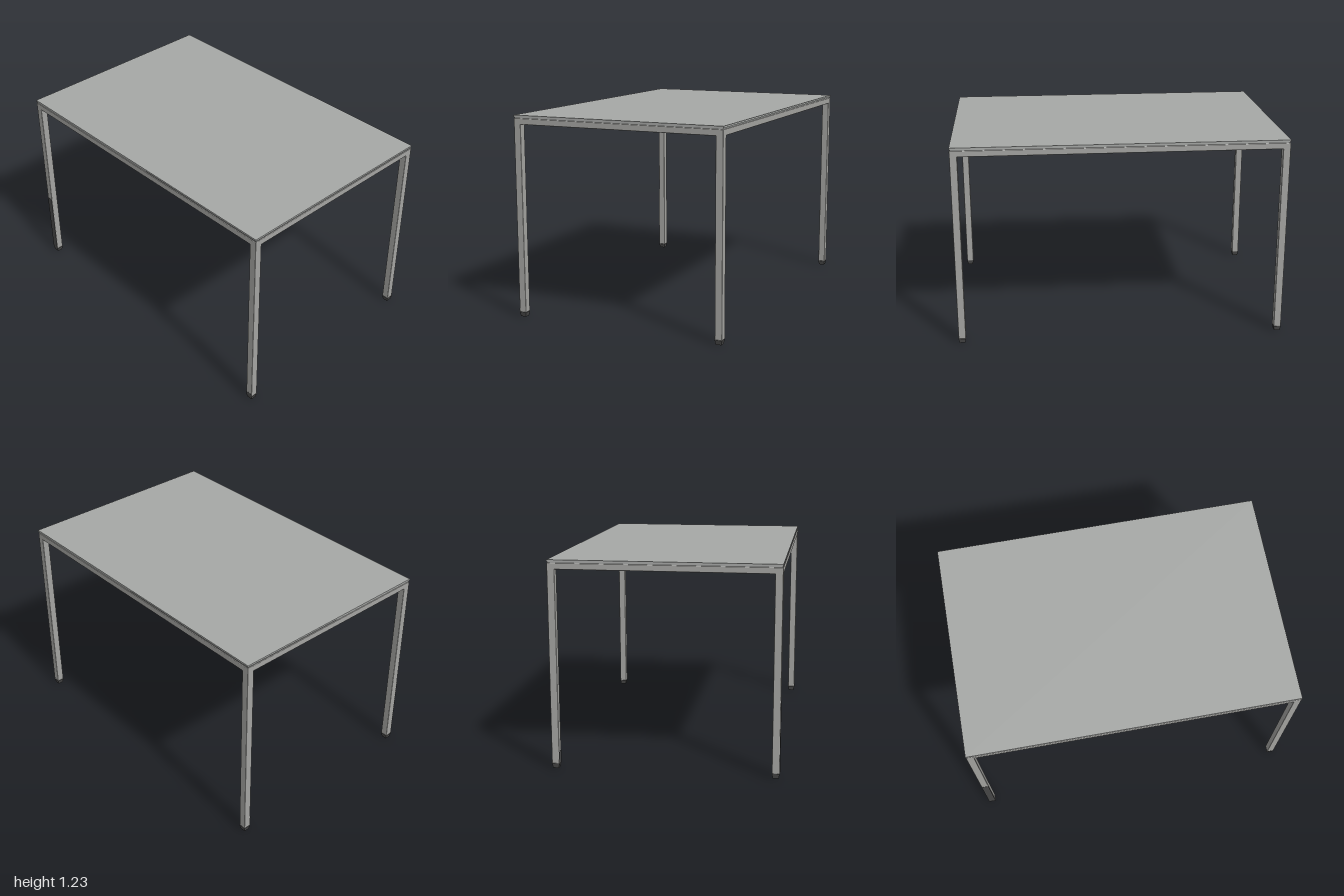
import * as THREE from 'three';
import { RoundedBoxGeometry } from 'three/addons/geometries/RoundedBoxGeometry.js';

const HALF_X = 1, HALF_Z = 0.667, TUBE = 0.045;
const FOOT = 0.028, FRAME_TOP = 1.215, RAIL_BOTTOM = 1.178, HEIGHT = 1.233;

export function createModel() {
  const table = new THREE.Group();
  table.name = 'table';
  const topGrey = new THREE.MeshStandardMaterial({ color: 0xa6a8a6 });
  topGrey.name = 'topGrey';
  const frameGrey = new THREE.MeshStandardMaterial({ color: 0xa4a4a1 });
  frameGrey.name = 'frameGrey';
  const darkPlastic = new THREE.MeshStandardMaterial({ color: 0x484848 });
  darkPlastic.name = 'darkPlastic';

  const add = (name, geometry, material, x, y, z) => {
    const mesh = new THREE.Mesh(geometry, material);
    mesh.name = name;
    mesh.position.set(x, y, z);
    table.add(mesh);
    return mesh;
  };

  // Thin top resting on a slightly recessed spacer
  const topBottom = 1.222;
  add('tableTop', new THREE.BoxGeometry(2 * HALF_X, HEIGHT - topBottom, 2 * HALF_Z),
    topGrey, 0, (HEIGHT + topBottom) / 2, 0);
  add('spacer', new THREE.BoxGeometry(2 * HALF_X - 0.008, 0.01, 2 * HALF_Z - 0.008),
    topGrey, 0, 1.218, 0);

  // Rails between the posts
  const railHeight = FRAME_TOP - RAIL_BOTTOM, railY = (FRAME_TOP + RAIL_BOTTOM) / 2;
  const cx = HALF_X - TUBE / 2, cz = HALF_Z - TUBE / 2;
  for (const side of [-1, 1]) {
    add('longRail', new RoundedBoxGeometry(2 * cx, railHeight, TUBE, 2, 0.004),
      frameGrey, 0, railY, side * cz);
    add('shortRail', new RoundedBoxGeometry(TUBE, railHeight, 2 * cz, 2, 0.004),
      frameGrey, side * cx, railY, 0);
  }

  // Square posts with tapered plastic feet
  const legGeometry = new RoundedBoxGeometry(TUBE, FRAME_TOP - FOOT, TUBE, 2, 0.004);
  const footGeometry = new THREE.CylinderGeometry(TUBE / Math.SQRT2, 0.017 * Math.SQRT2, FOOT, 4)
    .rotateY(Math.PI / 4).toNonIndexed();
  footGeometry.computeVertexNormals();
  for (const sx of [-1, 1]) for (const sz of [-1, 1]) {
    add('leg', legGeometry, frameGrey, sx * cx, (FRAME_TOP + FOOT) / 2, sz * cz);
    add('foot', footGeometry, darkPlastic, sx * cx, FOOT / 2, sz * cz);
  }

  // Dark lower panels on the front faces of some legs: x side, z side, top height
  for (const [sx, sz, top] of [[-1, 1, 0.46], [-1, -1, 0.1], [1, 1, 0.048]]) {
    add('legPanel', new THREE.BoxGeometry(TUBE - 0.002, top - FOOT, 0.002), darkPlastic,
      sx * cx, (top + FOOT) / 2, sz * cz + TUBE / 2);
  }
  return table;
}
